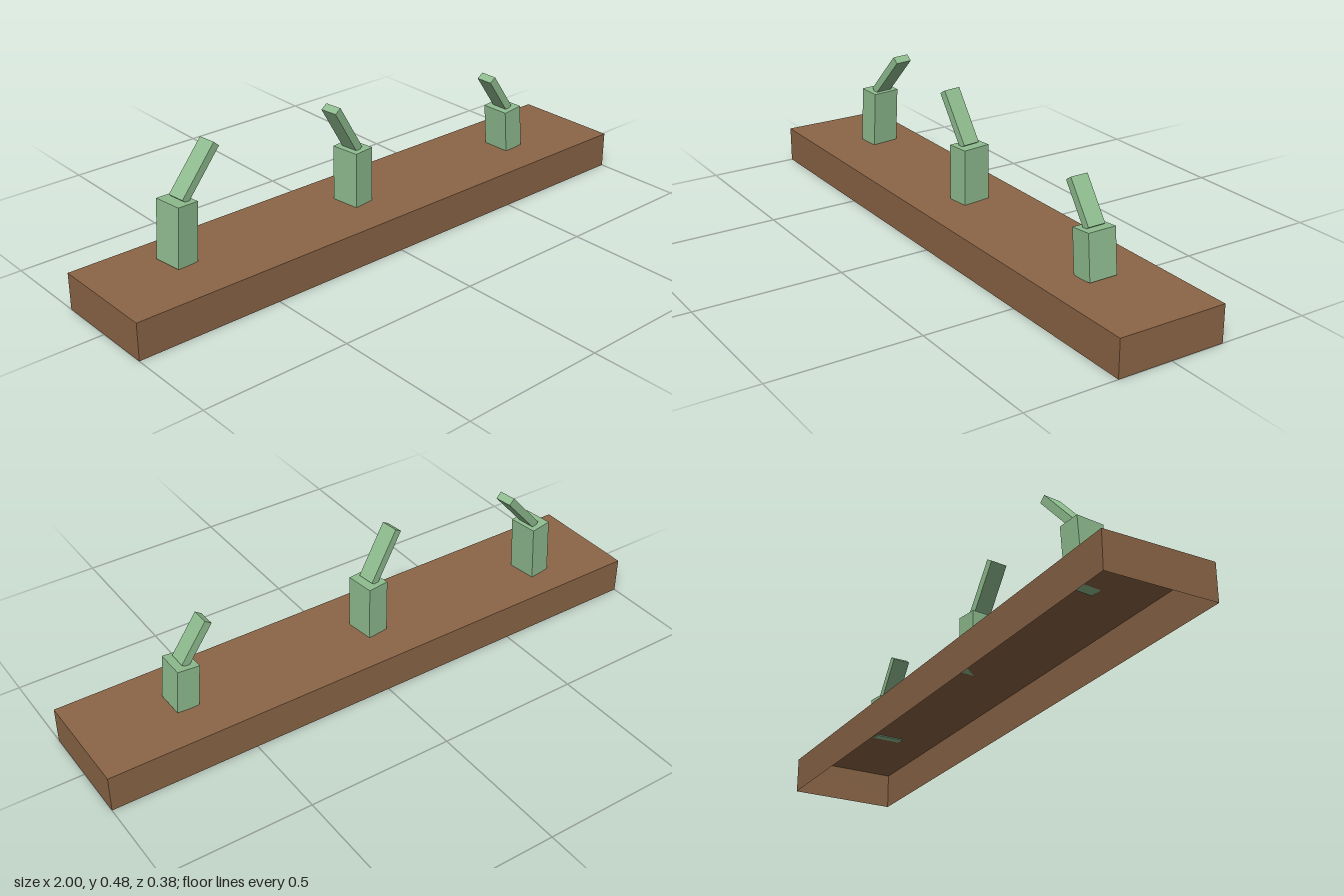
import * as THREE from 'three';

export function createModel() {
  const model = new THREE.Group();
  const soil = new THREE.MeshStandardMaterial({ name: 'brownSoil', color: 0x8b6546, side: THREE.DoubleSide });
  const leafGreen = new THREE.MeshStandardMaterial({ name: 'leafGreen', color: 0x8fbc8f });

  // Base slab: an open-bottomed box (the -y face is left out)
  const slabGeometry = new THREE.BoxGeometry(2, 0.125, 0.375);
  const corners = Array.from(slabGeometry.index.array);
  slabGeometry.setIndex(corners.filter((_, i) => i < 18 || i >= 24));
  slabGeometry.clearGroups();
  const slab = new THREE.Mesh(slabGeometry, soil);
  slab.name = 'soilBase';
  slab.position.y = 0.0625;
  model.add(slab);

  // A box standing on its lower end and leaning sideways
  const leaningBox = (name, w, h, d, x, y, lean) => {
    const geometry = new THREE.BoxGeometry(w, h, d).translate(0, h / 2, 0);
    const mesh = new THREE.Mesh(geometry, leafGreen);
    mesh.name = name;
    mesh.position.set(x, y, 0);
    mesh.rotation.z = lean;
    return mesh;
  };

  // Sprouts: upright stem with one leaf slanting from its top
  const sprouts = [
    { name: 'rightSprout', x: -0.712, z: -0.038, yaw: 0.12, height: 0.2, tilt: -0.07, leafX: 0.019, leafLean: -0.74, leafLength: 0.197 },
    { name: 'middleSprout', x: -0.042, z: -0.006, yaw: 0.12, height: 0.19, tilt: 0, leafX: 0, leafLean: 0.55, leafLength: 0.192 },
    { name: 'leftSprout', x: 0.657, z: 0.006, yaw: 0.01, height: 0.152, tilt: 0.09, leafX: -0.012, leafLean: 0.61, leafLength: 0.156 },
  ];
  for (const s of sprouts) {
    const sprout = new THREE.Group();
    sprout.name = s.name;
    sprout.position.set(s.x, 0.125, s.z);
    sprout.rotation.y = s.yaw;
    sprout.add(leaningBox('stem', 0.076, s.height, 0.1, 0, 0, s.tilt));
    sprout.add(leaningBox('leaf', 0.027, s.leafLength, 0.061, s.leafX, s.height - 0.001, s.leafLean));
    model.add(sprout);
  }
  return model;
}
